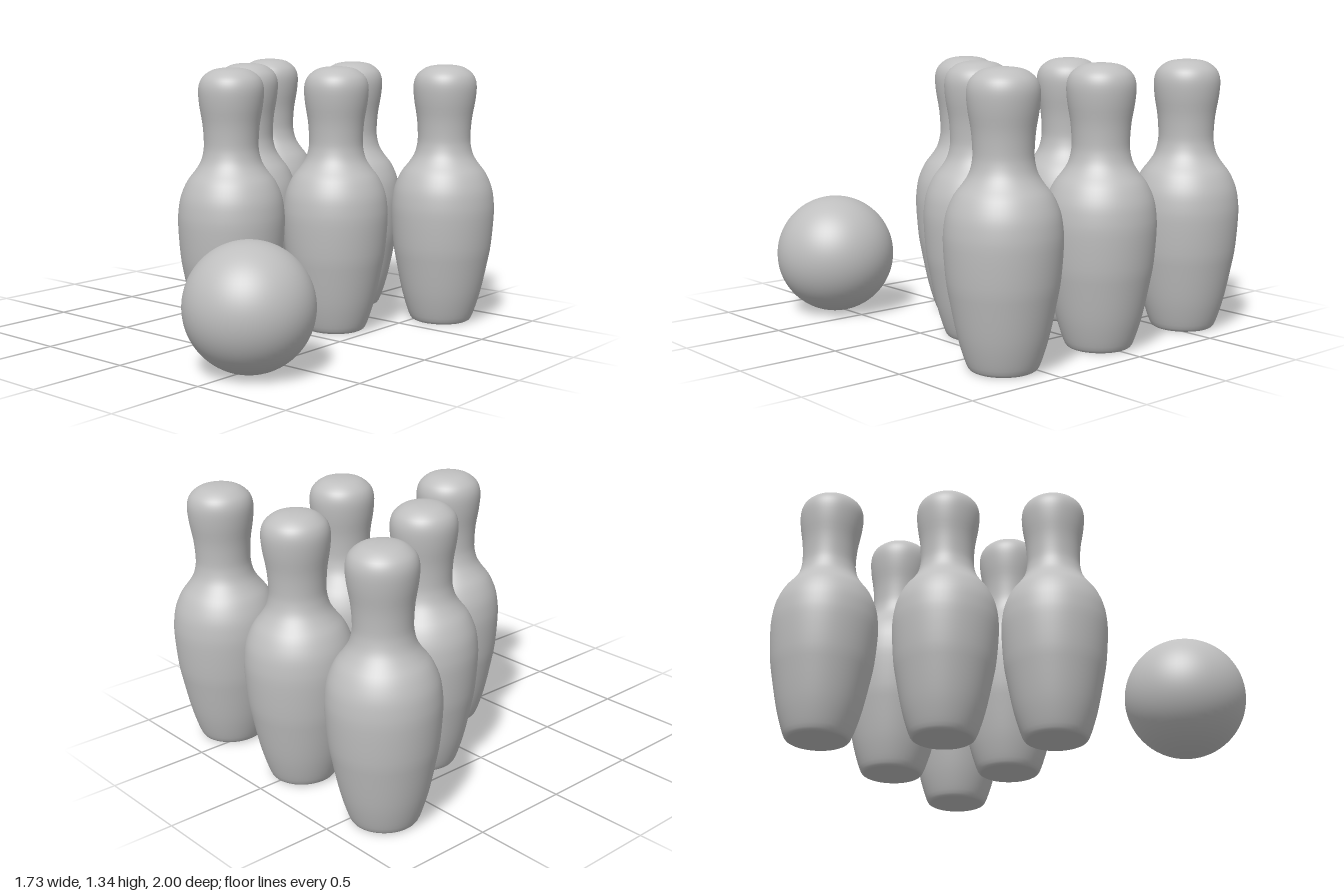
import * as THREE from 'three';

export function createModel() {
  const model = new THREE.Group();
  const grey = new THREE.MeshStandardMaterial({ color: 0xbfbfbf });
  grey.name = 'plain grey';

  // Pin silhouette as [radius, height], from the base edge to the crown
  const outline = [
    [0.142, 0], [0.16, 0.016], [0.185, 0.085], [0.21, 0.177], [0.238, 0.315],
    [0.254, 0.41], [0.265, 0.56], [0.262, 0.64], [0.249, 0.71], [0.218, 0.78],
    [0.18, 0.83], [0.153, 0.873], [0.139, 0.92], [0.135, 0.97], [0.141, 1.06],
    [0.156, 1.15], [0.162, 1.22], [0.155, 1.265], [0.135, 1.297], [0.095, 1.325],
    [0.045, 1.336], [0, 1.338],
  ].map(([r, y]) => new THREE.Vector2(r, y));
  const side = new THREE.SplineCurve(outline).getPoints(63);
  side[63].x = 0;
  // A flat base closes the pin; the extra ring keeps it flat in shading
  const profile = [new THREE.Vector2(0, 0), new THREE.Vector2(0.125, 0), ...side];
  const pinGeometry = new THREE.LatheGeometry(profile, 64);

  // Triangle of pins: one in front, then two, then three
  [0.242, -0.21, -0.735].forEach((z, row) => {
    for (let i = 0; i <= row; i++) {
      const pin = new THREE.Mesh(pinGeometry, grey);
      pin.name = `pinRow${row + 1}Number${i + 1}`;
      pin.position.set((i - row / 2) * 0.6, 0, z);
      model.add(pin);
    }
  });

  // Ball resting in front of the pins, on the model's left
  const ball = new THREE.Mesh(new THREE.SphereGeometry(0.303, 64, 40), grey);
  ball.name = 'ball';
  ball.position.set(0.525, 0.303, 0.695);
  model.add(ball);

  return model;
}
